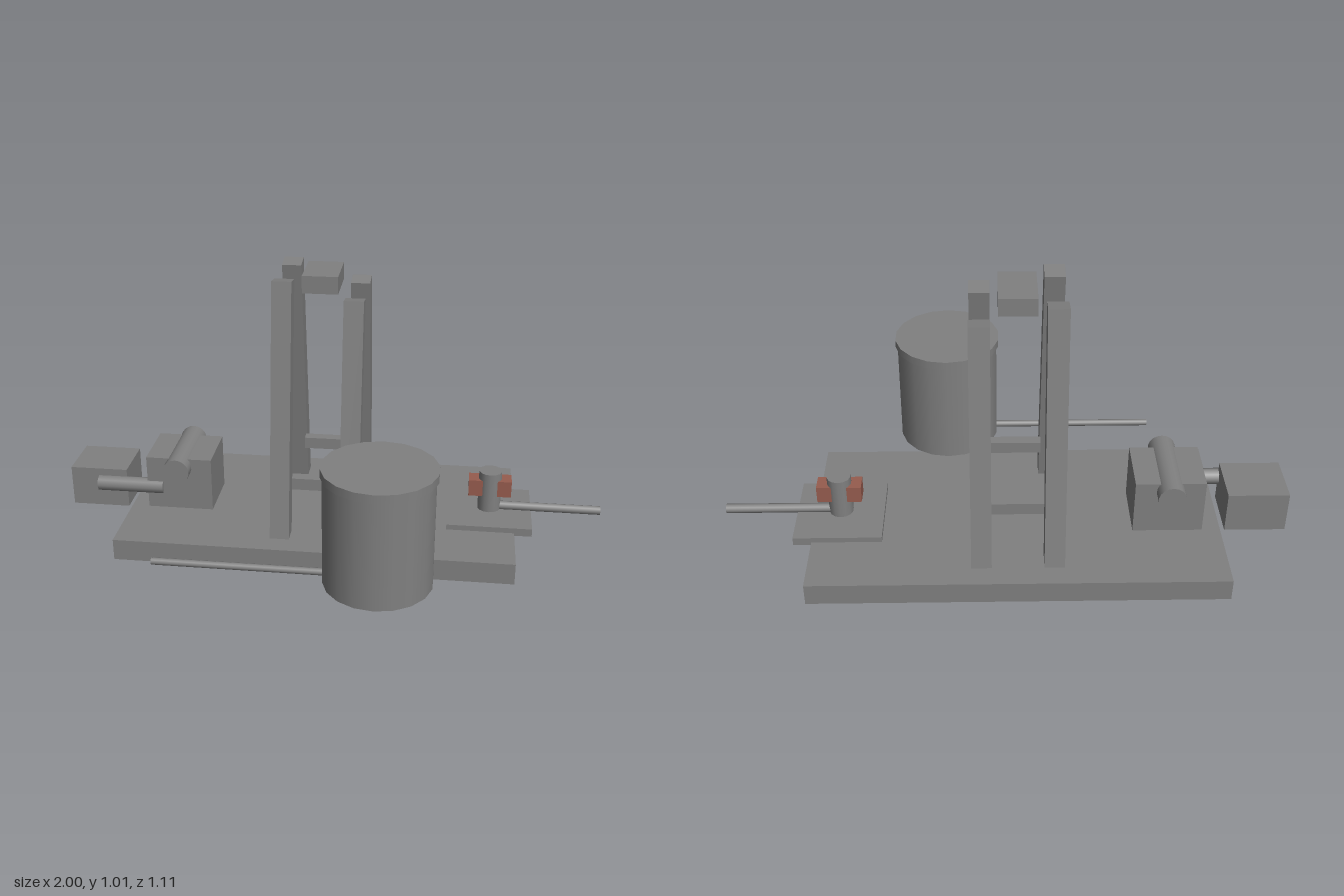
import * as THREE from 'three';

const ZC = -0.1775; // centre line of the base

export function createModel() {
  const model = new THREE.Group();
  model.name = 'pumpStation';

  const steel = new THREE.MeshStandardMaterial({ color: 0x808080 });
  steel.name = 'grey steel';
  const rust = new THREE.MeshStandardMaterial({ color: 0x965c4e });
  rust.name = 'rust red';

  const add = (name, geometry, material, x, y, z) => {
    const mesh = new THREE.Mesh(geometry, material);
    mesh.name = name;
    mesh.position.set(x, y, z);
    model.add(mesh);
    return mesh;
  };
  // Box from its x, y and z ranges
  const box = (name, [x0, x1], [y0, y1], [z0, z1], material = steel) =>
    add(name, new THREE.BoxGeometry(x1 - x0, y1 - y0, z1 - z0), material,
      (x0 + x1) / 2, (y0 + y1) / 2, (z0 + z1) / 2);
  const upright = (name, r, y0, y1, x, z, sides) =>
    add(name, new THREE.CylinderGeometry(r, r, y1 - y0, sides), steel, x, (y0 + y1) / 2, z);
  const rodX = (name, r, x0, x1, y, z, sides) =>
    add(name, new THREE.CylinderGeometry(r, r, x1 - x0, sides).rotateZ(Math.PI / 2),
      steel, (x0 + x1) / 2, y, z);

  // Base slab
  box('base', [-0.765, 0.68], [0, 0.08], [-0.555, 0.2]);

  // Leaning legs: taller pair on the right, shorter pair on the left
  const leg = (x, side, topY, topZ) => {
    const botY = 0.075, botZ = 0.2645;
    const dy = topY - botY, dz = topZ - botZ;
    const mesh = add('towerLeg', new THREE.BoxGeometry(0.07, Math.hypot(dy, dz), 0.07), steel,
      x, (topY + botY) / 2, ZC + side * (topZ + botZ) / 2);
    mesh.rotation.x = side * Math.atan2(dz, dy);
  };
  for (const side of [-1, 1]) {
    leg(-0.167, side, 1.0, 0.1175);
    leg(0.083, side, 0.94, 0.1225);
    // Low rail joining the legs on each side
    const z = ZC + side * 0.1765;
    box('crossRail', [-0.135, 0.05], [0.232, 0.276], [z - 0.02, z + 0.02]);
  }
  box('topBeam', [-0.105, 0.022], [0.947, 1.01], [-0.27, -0.084]);

  // Gearbox, drum, counterweight and crank shaft
  box('gearbox', [-0.7, -0.453], [0.075, 0.286], [-0.286, -0.069]);
  add('gearDrum', new THREE.CylinderGeometry(0.049, 0.049, 0.313, 18).rotateX(Math.PI / 2),
    steel, -0.577, 0.254, ZC);
  box('counterweight', [-1, -0.784], [0.067, 0.221], [ZC - 0.095, ZC + 0.095]);
  rodX('crankShaft', 0.03, -0.893, -0.64, 0.163, -0.082, 8);

  // Wellhead: plate, post, valve blocks and outlet pipe
  box('wellPlate', [0.432, 0.744], [0.07, 0.1], [ZC - 0.156, ZC + 0.156]);
  upright('wellPost', 0.043, 0.1, 0.254, 0.587, ZC, 14);
  for (const [x0, x1] of [[0.508, 0.563], [0.611, 0.666]])
    box('valveBlock', [x0, x1], [0.161, 0.224], [ZC - 0.032, ZC + 0.032], rust);
  rodX('outletPipe', 0.017, 0.6, 1, 0.111, ZC, 8);

  // Tank with rim lid and feed pipe
  upright('tank', 0.19, 0.08, 0.482, 0.21, 0.357, 18);
  upright('tankLid', 0.1975, 0.48, 0.51, 0.21, 0.357, 18);
  rodX('feedPipe', 0.013, -0.578, 0.1, 0.1, 0.357, 8);

  return model;
}
